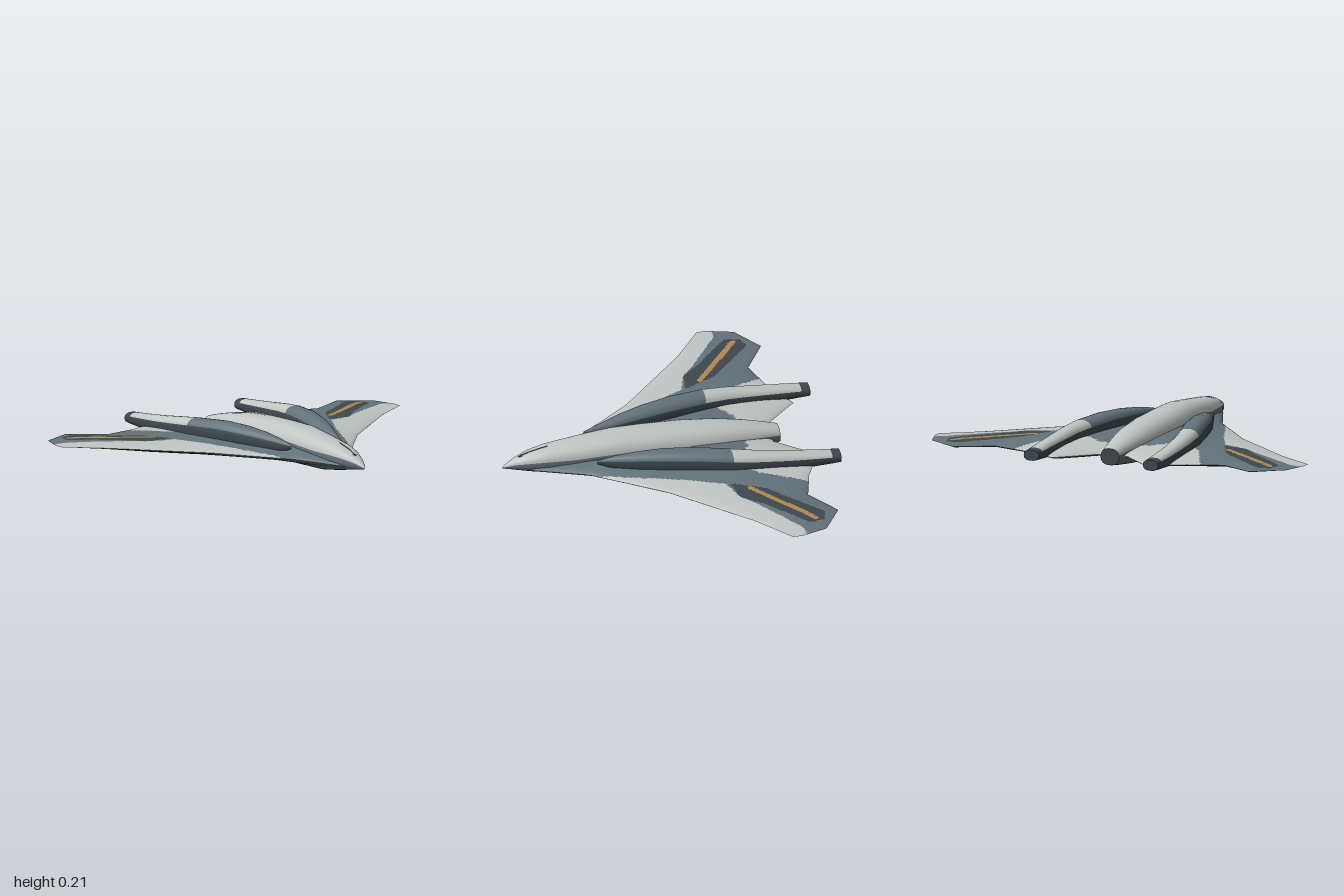
import * as THREE from 'three';

const mat = (name, color) => {
  const m = new THREE.MeshStandardMaterial({ color });
  m.name = name;
  return m;
};

// Piecewise linear lookup in a list of [key, value, value...] with rising keys
const lookup = (table, k, col = 1) => {
  for (let i = 1; i < table.length; i++) {
    const a = table[i - 1], b = table[i];
    if (k <= b[0]) return a[col] + (b[col] - a[col]) * Math.max(0, (k - a[0]) / (b[0] - a[0]));
  }
  return table[table.length - 1][col];
};

const inside = (poly, x, z) => {
  let hit = false;
  for (let i = 0, j = poly.length - 1; i < poly.length; j = i++) {
    const [ax, az] = poly[i], [bx, bz] = poly[j];
    if ((az > z) !== (bz > z) && x < ((bx - ax) * (z - az)) / (bz - az) + ax) hit = !hit;
  }
  return hit;
};

// Grid surface; paint(i, j, centre) picks the material index of each cell
function surface(name, nu, nv, point, paint, materials, closed = false) {
  const pos = [], faces = materials.map(() => []);
  const rows = closed ? nv : nv + 1;
  const id = (i, j) => i * rows + (closed ? j % nv : j);
  const pts = [];
  for (let i = 0; i <= nu; i++) for (let j = 0; j < rows; j++) pts.push(point(i, j));
  pts.forEach((p) => pos.push(...p));
  for (let i = 0; i < nu; i++) for (let j = 0; j < nv; j++) {
    const a = id(i, j), b = id(i, j + 1), c = id(i + 1, j), d = id(i + 1, j + 1);
    const mid = [0, 1, 2].map((k) => (pts[a][k] + pts[b][k] + pts[c][k] + pts[d][k]) / 4);
    faces[paint(i, j, mid)].push(a, c, b, b, c, d);
  }
  const g = new THREE.BufferGeometry();
  g.setAttribute('position', new THREE.Float32BufferAttribute(pos, 3));
  g.setIndex(faces.flat());
  let start = 0;
  faces.forEach((f, m) => {
    if (f.length) g.addGroup(start, f.length, m);
    start += f.length;
  });
  g.computeVertexNormals();
  const mesh = new THREE.Mesh(g, materials);
  mesh.name = name;
  return mesh;
}

// Lofted body from front to back; sections are [z, centreX, halfWidth, top, bottom]
function loft(name, sections, power, paint, materials, capMaterial) {
  const n = 32, group = new THREE.Group();
  group.name = name;
  const bend = (v) => Math.sign(v) * Math.abs(v) ** power;
  const ring = (i, j) => {
    const [z, x, w, top, bottom] = sections[i], a = (j / n) * Math.PI * 2;
    return [x + w * bend(Math.cos(a)), (top + bottom) / 2 + ((top - bottom) / 2) * bend(Math.sin(a)), z];
  };
  const last = sections.length - 1;
  group.add(surface(name + 'Skin', last, n, ring,
    (i, j, c) => paint(Math.sin(((j + 0.5) / n) * Math.PI * 2), c[2]), materials, true));
  // Flat rear end
  const [z, x, , top, bottom] = sections[last];
  group.add(surface(name + 'Nozzle', 1, n, (i, j) => (i ? [x, (top + bottom) / 2, z] : ring(last, j)),
    () => 0, [capMaterial], true));
  return group;
}

export function createModel() {
  const model = new THREE.Group();
  const light = mat('light grey hull', 0xc0c6c4);
  const slate = mat('slate panels', 0x63727a);
  const dark = mat('dark trim', 0x3d484e);
  const amber = mat('amber stripe', 0xb5894f);
  const paints = [light, slate, dark, amber];

  // Wing plan: edges, thickness and painted areas for one half
  const leading = [[0, 0.79], [0.06, 0.68], [0.17, 0.42], [0.43, 0.08], [0.8, -0.27], [1, -0.42]];
  const trailing = [[0, -0.53], [0.08, -0.55], [0.25, -0.73], [0.44, -0.64], [0.62, -0.59],
    [0.8, -0.7], [0.96, -0.6], [1, -0.47]];
  const rise = [[0, 0.055], [0.2, 0.045], [0.36, 0.03], [0.8, 0.014], [1, 0]];
  const drop = [[0, 0.05], [0.2, 0.046], [0.5, 0.036], [0.8, 0.02], [1, 0]];
  const slateArea = [[-0.01, 0.82], [0.08, 0.68], [0.2, 0.42], [0.2, 0.38], [0.29, 0.18], [0.36, 0],
    [0.46, -0.21], [0.59, -0.25], [0.69, -0.33], [0.93, -0.49], [1.05, -0.5], [1, -0.8], [0.62, -0.8],
    [0.5, -0.62], [0.4, -0.4], [0.29, -0.3], [0.14, -0.4], [-0.01, -0.4]];
  const darkArea = [[0.46, -0.23], [0.55, -0.4], [0.81, -0.63], [0.88, -0.61], [0.89, -0.53],
    [0.68, -0.35], [0.59, -0.25]];
  const stripe = [[0.52, -0.3], [0.51, -0.325], [0.7, -0.47], [0.86, -0.59], [0.875, -0.565], [0.7, -0.435]];

  const nu = 200, nv = 70;
  const wingPoint = (i, v, side) => {
    const x = i / 100 - 1, s = Math.abs(x);
    const z = THREE.MathUtils.lerp(lookup(leading, s), lookup(trailing, s), v);
    const bulge = Math.max(0, Math.sin(Math.PI * v)) ** 0.6;
    return [x, 0.077 + 0.012 * s + side * lookup(side > 0 ? rise : drop, s) * bulge, z];
  };
  const topPaint = (i, j, [x, , z]) => {
    const s = Math.abs(x);
    if (inside(stripe, s, z)) return 3;
    if (inside(darkArea, s, z)) return 2;
    return inside(slateArea, s, z) ? 1 : 0;
  };
  model.add(surface('wingTop', nu, nv, (i, j) => wingPoint(i, j / nv, 1), topPaint, paints));
  model.add(surface('wingUnderside', nu, nv, (i, j) => wingPoint(i, 1 - j / nv, -1),
    (i, j, [x]) => (Math.abs(x) > 0.42 ? 2 : 1), paints));

  // Central fuselage with keel
  const hull = [
    [0.82, 0, 0.003, 0.085, 0.076], [0.76, 0, 0.03, 0.122, 0.066], [0.68, 0, 0.058, 0.152, 0.052],
    [0.6, 0, 0.075, 0.17, 0.038], [0.48, 0, 0.089, 0.184, 0.021], [0.36, 0, 0.098, 0.197, 0.018],
    [0.25, 0, 0.104, 0.207, 0.015], [0.1, 0, 0.109, 0.205, 0.01], [-0.1, 0, 0.11, 0.198, 0.005],
    [-0.28, 0, 0.1, 0.183, 0], [-0.42, 0, 0.08, 0.16, 0.014], [-0.52, 0, 0.062, 0.138, 0.026],
    [-0.59, 0, 0.05, 0.12, 0.036]];
  model.add(loft('fuselage', hull, 0.85, (s) => (s > 0.25 ? 0 : 1), paints, dark));

  // Long engine nacelles
  const engine = [
    [0.37, 0.143, 0.004, 0.138, 0.12], [0.28, 0.158, 0.024, 0.16, 0.09], [0.18, 0.182, 0.042, 0.178, 0.08],
    [0.05, 0.212, 0.057, 0.192, 0.075], [-0.1, 0.247, 0.064, 0.197, 0.07], [-0.28, 0.29, 0.061, 0.187, 0.062],
    [-0.4, 0.308, 0.053, 0.175, 0.06], [-0.55, 0.318, 0.047, 0.157, 0.062], [-0.7, 0.322, 0.044, 0.142, 0.068],
    [-0.78, 0.323, 0.042, 0.134, 0.073], [-0.825, 0.323, 0.041, 0.13, 0.076]];
  const enginePaint = (s, z) => {
    if (s < 0.4 || z < -0.78) return 2;
    return z < -0.28 ? 0 : 1;
  };
  for (const side of [1, -1]) {
    const sections = engine.map(([z, x, ...rest]) => [z, x * side, ...rest]);
    model.add(loft(side > 0 ? 'leftEngine' : 'rightEngine', sections, 0.8, enginePaint, paints, dark));
  }

  // Fine seam lines on the nose
  const seam = (name, points) => {
    const curve = new THREE.CatmullRomCurve3(points.map((p) => new THREE.Vector3(...p)));
    const mesh = new THREE.Mesh(new THREE.TubeGeometry(curve, 8, 0.0025, 5), dark);
    mesh.name = name;
    model.add(mesh);
  };
  seam('noseRidge', [[0, 0.172, 0.59], [0, 0.152, 0.68], [0, 0.131, 0.74]]);
  for (const side of [1, -1]) {
    seam('noseChevron', [[side * 0.042, 0.152, 0.62], [side * 0.024, 0.143, 0.68], [0, 0.131, 0.74]]);
  }
  return model;
}
